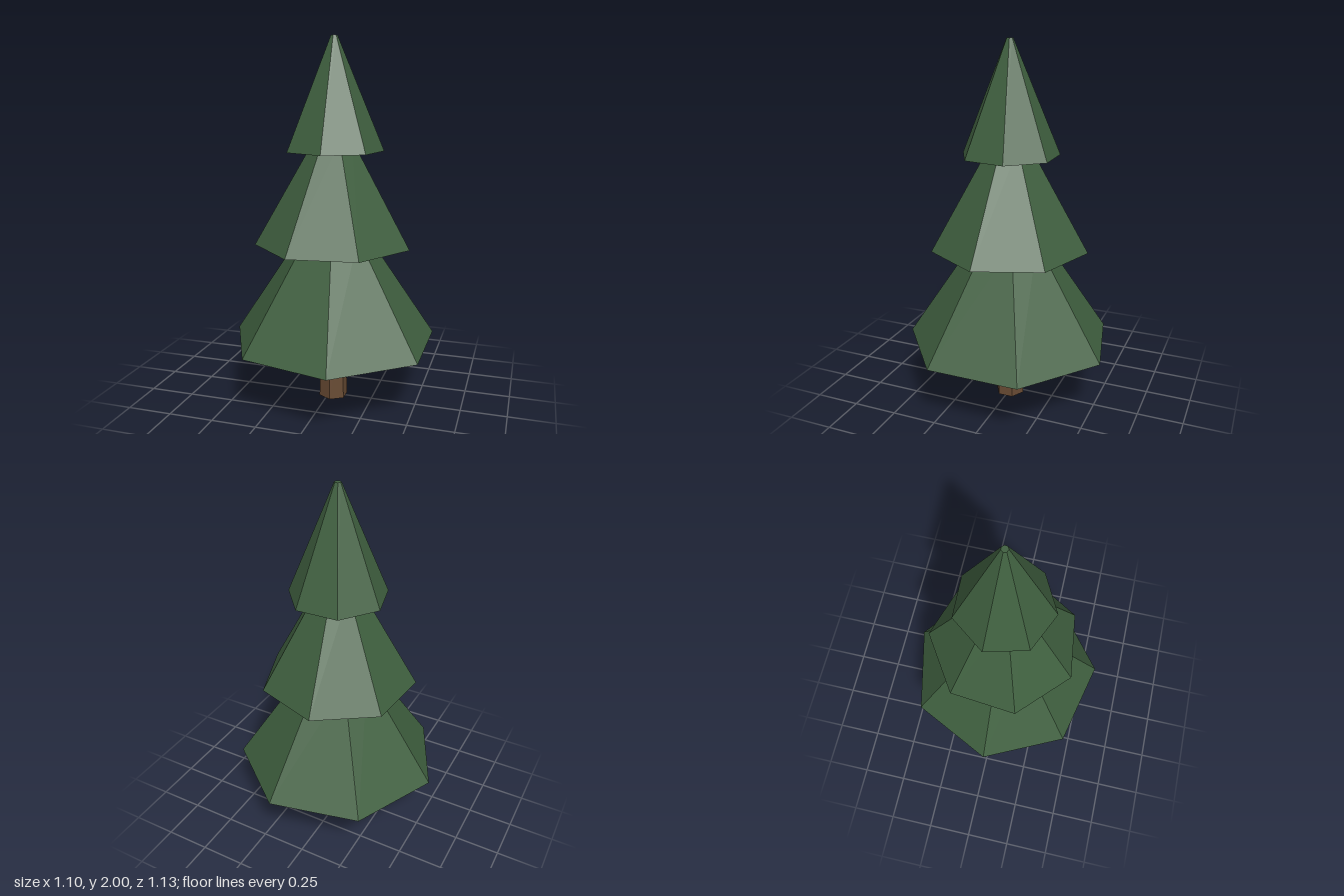
import * as THREE from 'three';

const CENTRE_X = 0.026;

export function createModel() {
  const group = new THREE.Group();
  group.name = 'pineTree';

  const foliage = new THREE.MeshStandardMaterial({ color: 0x3f5f3f, flatShading: true });
  foliage.name = 'foliage green';
  const bark = new THREE.MeshStandardMaterial({ color: 0x674a33, flatShading: true });
  bark.name = 'bark brown';

  // Tapered prism from y0 to y1; one corner points at the given angle (degrees from +x towards +z)
  function addFrustum(name, material, sides, r0, r1, y0, y1, corner) {
    const start = THREE.MathUtils.degToRad(90 - corner);
    const geometry = new THREE.CylinderGeometry(r1, r0, y1 - y0, sides, 1, false, start);
    const mesh = new THREE.Mesh(geometry, material);
    mesh.name = name;
    mesh.position.set(CENTRE_X, (y0 + y1) / 2, 0);
    group.add(mesh);
  }

  // Six-sided trunk, running a little way into the lowest tier
  addFrustum('trunk', bark, 6, 0.082, 0.066, 0, 0.4, 90);

  // Three seven-sided tiers, each twisted against the one below
  addFrustum('lowerFoliage', foliage, 7, 0.581, 0.176, 0.345, 0.95, 180);
  addFrustum('middleFoliage', foliage, 7, 0.432, 0.105, 0.89, 1.46, 5.3);
  addFrustum('upperFoliage', foliage, 7, 0.27, 0.018, 1.4, 2, -14.7);

  return group;
}
